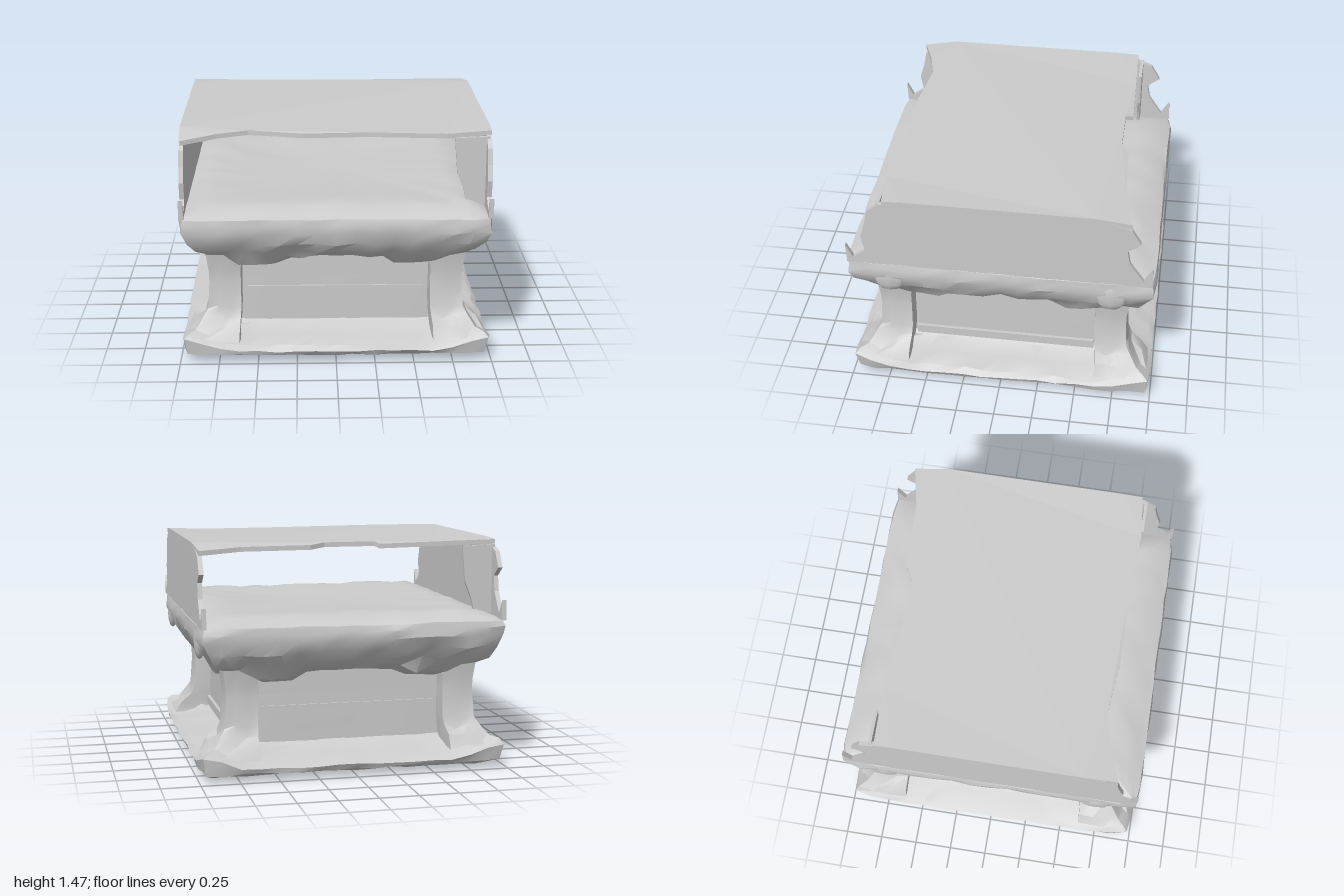
import * as THREE from 'three';
import { toCreasedNormals } from 'three/addons/utils/BufferGeometryUtils.js';

const stone = new THREE.MeshStandardMaterial({ color: 0xcccccc, side: THREE.DoubleSide });
stone.name = 'weathered grey stone';

// repeatable noise in -1..1
const noise = (a, b) => {
  const s = Math.sin(a * 127.1 + b * 311.7) * 43758.5453;
  return (s - Math.floor(s)) * 2 - 1;
};

// Stacks rounded-square rings; each profile entry is [halfWidth, y, wear, diagonalShift].
// lift(x, y, z) raises or lowers points by a rule.
function squareLoft(profile, { perSide = 12, power = 16, seed = 0, lift = () => 0 } = {}) {
  const n = perSide * 4, pos = [], index = [];
  profile.forEach(([half, y, wear = 0, shift = 0], i) => {
    for (let j = 0; j < n; j++) {
      const side = Math.floor(j / perSide), u = ((j % perSide) / perSide) * 2 - 1;
      let [x, z] = [[1, u], [-u, 1], [-1, -u], [u, -1]][side];
      const k = 1 / Math.pow(Math.abs(x) ** power + Math.abs(z) ** power, 1 / power);
      const r = half * k * (1 - Math.abs(noise(i + seed, j)) * wear);
      x = x * r + shift;
      z = z * r + shift;
      pos.push(x, y + noise(j, i + seed + 7) * wear * 0.5 + lift(x, y, z), z);
    }
  });
  for (let i = 0; i < profile.length - 1; i++)
    for (let j = 0; j < n; j++) {
      const a = i * n + j, b = i * n + (j + 1) % n;
      index.push(a, a + n, b, b, a + n, b + n);
    }
  const g = new THREE.BufferGeometry();
  g.setAttribute('position', new THREE.Float32BufferAttribute(pos, 3));
  g.setIndex(index);
  return toCreasedNormals(g, 0.55);
}

// 0 in the middle of a side, 1 on the diagonals
const diagonal = (x, z) => {
  const a = Math.abs(x), b = Math.abs(z);
  return Math.min(a, b) / Math.max(a, b, 1e-6);
};

const slab = (pts, depth) => new THREE.ExtrudeGeometry(
  new THREE.Shape(pts.map(p => new THREE.Vector2(...p))), { depth, bevelEnabled: false });

export function createModel() {
  const model = new THREE.Group();
  const add = (name, geometry, x = 0, y = 0, z = 0) => {
    const m = new THREE.Mesh(geometry, stone);
    m.name = name;
    m.position.set(x, y, z);
    model.add(m);
    return m;
  };

  // Sloping plinth with raised corners and a recessed underside
  add('plinth', squareLoft([
    [0, 0.05], [0.58, 0.05], [0.62, 0.005], [0.72, 0.005], [0.72, 0.03], [0.93, 0.035, 0.015],
    [0.985, 0.055, 0.015], [1, 0.085, 0.015], [0.97, 0.11, 0.02], [0.85, 0.14, 0.02], [0.74, 0.175, 0.015], [0.7, 0.2],
  ], {
    perSide: 16, power: 40,
    lift: (x, y, z) => (y > 0.07 && y < 0.15 ? 0.08 * THREE.MathUtils.smoothstep(diagonal(x, z), 0.65, 1) : 0),
  }));

  // Recessed body
  add('body', squareLoft([[0.71, 0.15], [0.71, 0.3, 0.004], [0.71, 0.5, 0.004], [0.705, 0.68]],
    { perSide: 8, power: 60, seed: 3 }));

  // Corner posts whose feet spread outwards
  const post = squareLoft([
    [0.18, 0.15, 0.05, 0.79], [0.16, 0.2, 0.06, 0.77], [0.125, 0.26, 0.05, 0.73], [0.115, 0.32, 0.05, 0.715],
    [0.108, 0.5, 0.04, 0.71], [0.108, 0.58, 0.04, 0.71], [0.125, 0.69, 0, 0.71],
  ], { perSide: 3, power: 14, seed: 5 });
  for (let i = 0; i < 4; i++) add('cornerPost', post).rotation.y = i * Math.PI / 2;

  // Ledges across the front and back panels, low sills on the sides
  for (const s of [-1, 1]) {
    add('upperLedge', new THREE.BoxGeometry(1.18, 0.15, 0.03), 0, 0.585, s * 0.715);
    add('lowerLedge', new THREE.BoxGeometry(1.14, 0.02, 0.02), 0, 0.42, s * 0.71);
    add('sideSill', new THREE.BoxGeometry(0.03, 0.06, 1.2), s * 0.715, 0.22, 0);
  }

  // Bulging band whose underside sags beside the posts, with a low rim around the floor
  add('bulgingBand', squareLoft([
    [0.69, 0.66], [0.76, 0.65, 0.02], [0.85, 0.68, 0.03], [0.92, 0.73, 0.035], [0.97, 0.8, 0.025],
    [0.995, 0.88, 0.015], [0.995, 0.93, 0.012], [0.985, 0.97, 0.01],
    [0.95, 0.985, 0.012], [0.86, 1.02, 0.02], [0.76, 1.03, 0.02], [0.6, 1.015], [0, 1.01],
  ], {
    perSide: 16, power: 36, seed: 11,
    lift: (x, y, z) => (y < 0.7 && diagonal(x, z) > 0.42 && diagonal(x, z) < 0.82 ? -0.05 : 0),
  }));

  // Flat round bosses near the ends of the side bands
  const boss = new THREE.SphereGeometry(1, 8, 6);
  for (const s of [-1, 1]) for (const t of [-1, 1])
    add('sideBoss', boss, s * 0.962, 0.86, t * 0.71).scale.set(0.033, 0.11, 0.11);

  // Upper side walls with a chipped spur at each foot, outline in (-z, y)
  const wall = slab([
    [-0.97, 0.97], [-0.975, 1.1], [-0.93, 1.01], [-0.85, 1.07], [-0.87, 1.18], [-0.84, 1.28], [-0.82, 1.38],
    [-0.74, 1.44], [-0.6, 1.46], [0.6, 1.46], [0.71, 1.44], [0.82, 1.4], [0.88, 1.3], [0.8, 1.24],
    [0.82, 1.14], [0.91, 1.01], [0.965, 1.1], [0.97, 0.97],
  ], 0.03);
  wall.rotateY(Math.PI / 2);
  add('leftWall', wall, 0.95);
  add('rightWall', wall, -0.98);

  // Narrow wall returns at two opposite corners
  const ret = slab([[0.97, 0.98], [0.83, 1.02], [0.81, 1.1], [0.77, 1.2], [0.75, 1.43], [0.97, 1.44]], 0.02);
  add('frontReturn', ret, 0, 0, 0.74);
  add('backReturn', ret, 0, 0, -0.74).rotation.y = Math.PI;

  // Uneven roof slab, outline in (x, z), drooping at its corners
  const roof = slab([
    [-0.985, -0.72], [-0.6, -0.73], [-0.2, -0.74], [-0.18, -0.69], [0.15, -0.69], [0.25, -0.74], [0.7, -0.76],
    [0.97, -0.82], [0.985, -0.6], [0.985, 0.6], [0.985, 0.72], [0.7, 0.75], [0.2, 0.72], [-0.2, 0.73],
    [-0.55, 0.69], [-0.75, 0.74], [-0.97, 0.82], [-0.985, 0.6], [-0.985, -0.6],
  ], 0.03);
  roof.rotateX(Math.PI / 2);
  const p = roof.attributes.position;
  for (let i = 0; i < p.count; i++) {
    const x = Math.abs(p.getX(i)), z = Math.abs(p.getZ(i));
    p.setY(i, p.getY(i) + 0.01 * x - 0.3 * Math.max(0, z - 0.7));
  }
  roof.computeVertexNormals();
  add('roof', roof, 0, 1.465);

  return model;
}
